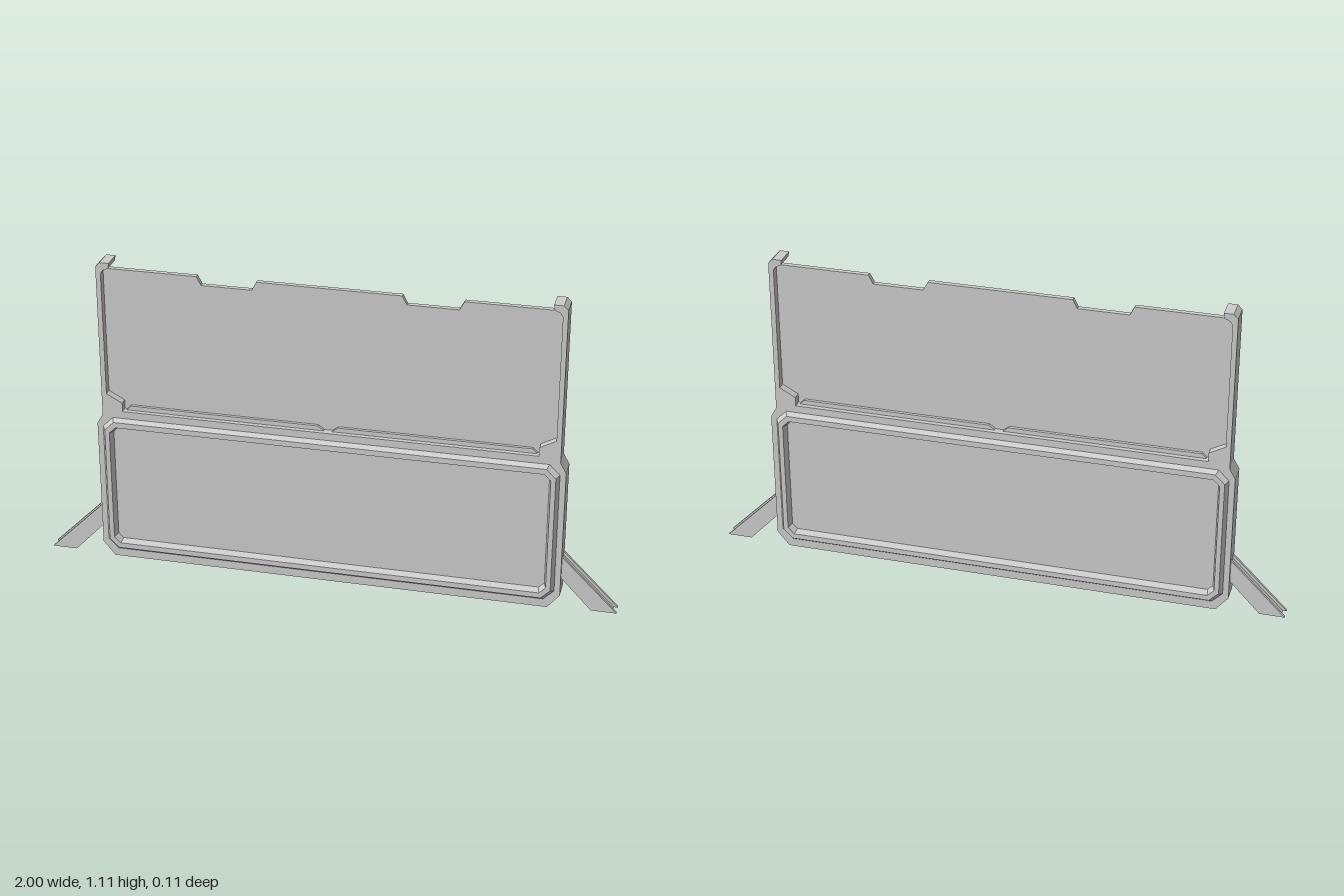
import * as THREE from 'three';

const material = new THREE.MeshStandardMaterial({ color: 0xcccccc, flatShading: true });

// Extrudes an outline symmetrically about z = 0
function plate(name, points, depth, hole) {
  const shape = new THREE.Shape(points.map(([x, y]) => new THREE.Vector2(x, y)));
  if (hole) shape.holes.push(new THREE.Path(hole.map(([x, y]) => new THREE.Vector2(x, y))));
  const geometry = new THREE.ExtrudeGeometry(shape, { depth, bevelEnabled: false });
  geometry.translate(0, 0, -depth / 2);
  const mesh = new THREE.Mesh(geometry, material);
  mesh.name = name;
  return mesh;
}

// Completes a half outline (x > 0) with its mirror image
const mirrored = (half) => [...half, ...half.slice().reverse().map(([x, y]) => [-x, y])];

// Rectangle with cut corners, counter-clockwise
function cutRect(x, y0, y1, c) {
  return [
    [x - c, y0], [x, y0 + c], [x, y1 - c], [x - c, y1],
    [-x + c, y1], [-x, y1 - c], [-x, y0 + c], [-x + c, y0],
  ];
}

// Raised rim and recessed panel, lofted through nested loops
function rimGeometry() {
  const loops = [
    { z: 0.037, p: cutRect(0.787, 0.03, 0.542, 0.036) },
    { z: 0.055, p: cutRect(0.776, 0.043, 0.532, 0.032) },
    { z: 0.055, p: cutRect(0.76, 0.062, 0.512, 0.022) },
    { z: 0.03, p: cutRect(0.752, 0.07, 0.504, 0.018) },
  ];
  const pos = [];
  const put = (loop, i) => pos.push(...loop.p[i % 8], loop.z);
  for (let k = 0; k < loops.length - 1; k++) {
    const a = loops[k], b = loops[k + 1];
    for (let i = 0; i < 8; i++) {
      put(a, i); put(a, i + 1); put(b, i + 1);
      put(a, i); put(b, i + 1); put(b, i);
    }
  }
  const floor = loops[loops.length - 1];
  for (let i = 1; i < 7; i++) { put(floor, 0); put(floor, i); put(floor, i + 1); }
  const geometry = new THREE.BufferGeometry();
  geometry.setAttribute('position', new THREE.Float32BufferAttribute(pos, 3));
  geometry.computeVertexNormals();
  return geometry;
}

// Slanted leg of H section: two flanges joined by an inset web
function makeLeg(name, side) {
  const leg = new THREE.Group();
  leg.name = name;
  const outline = (d) => {
    const pts = [[0.78, 0.14 - d], [0.78, 0.22 - d], [1 - d, 0], [0.913 + d, 0]];
    pts[0][1] += 2 * d;
    return pts.map(([x, y]) => [x * side, y]);
  };
  for (const s of [-1, 1]) {
    const flange = plate('legFlange', outline(0), 0.01);
    flange.position.z = s * 0.02;
    leg.add(flange);
  }
  leg.add(plate('legWeb', outline(0.013), 0.032));
  return leg;
}

export function createModel() {
  const model = new THREE.Group();
  model.name = 'barrier';

  // Body with side posts and hooked post tops
  const body = mirrored([
    [0.765, 0], [0.807, 0.05], [0.807, 0.515], [0.787, 0.55],
    [0.787, 1.095], [0.772, 1.11], [0.74, 1.11], [0.743, 1.092],
    [0.762, 1.083], [0.77, 1.07], [0.77, 0.63], [0.715, 0.6], [0.715, 0.568],
  ]);
  model.add(plate('frame', body, 0.074, cutRect(0.756, 0.066, 0.508, 0.02)));

  // Rim and panel on both faces
  const rim = rimGeometry();
  for (const [name, turn] of [['frontPanel', 0], ['backPanel', Math.PI]]) {
    const panel = new THREE.Mesh(rim, material);
    panel.name = name;
    panel.rotation.y = turn;
    model.add(panel);
  }

  // Thin upper pane with two notches in its top edge
  const pane = mirrored([
    [0.78, 0.55], [0.78, 1.08], [0.448, 1.08], [0.432, 1.05], [0.26, 1.05], [0.244, 1.08],
  ]);
  model.add(plate('pane', pane, 0.018));

  // Retaining strips along the foot of the pane, with tapered ends
  for (const side of [-1, 1]) {
    const strip = [[0.015, 0.56], [0.015, 0.57], [0.035, 0.584], [0.69, 0.584], [0.705, 0.57], [0.705, 0.56]];
    model.add(plate('paneStrip', strip.map(([x, y]) => [x * side, y]), 0.04));
  }

  model.add(makeLeg('leftLeg', 1), makeLeg('rightLeg', -1));
  return model;
}
